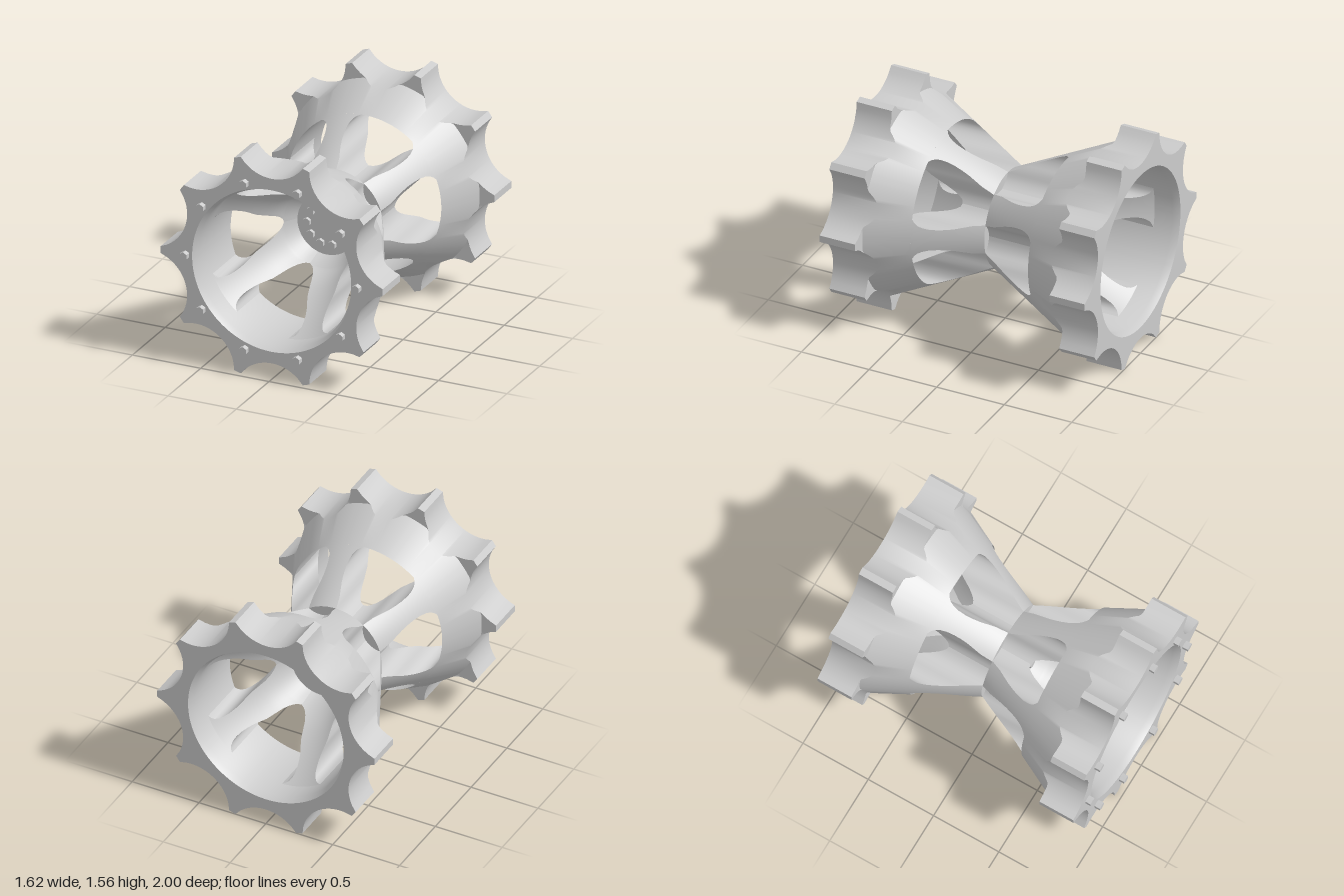
import * as THREE from 'three';
import { toCreasedNormals } from 'three/addons/utils/BufferGeometryUtils.js';

const RAD = Math.PI / 180;
const CENTER_Y = 0.785, WAIST_Z = -0.02;
const BORE = 0.562, WAIST_R = 0.345, RIM_BACK = 0.72, RIM_FRONT = 0.98;
const material = new THREE.MeshStandardMaterial({ color: 0xcccccc });

// Depth of the outer cone above the waist at radius r
const coneDepth = (r) => Math.max(0, (r - WAIST_R) * 2);

// Piecewise linear lookup in [[x, y], ...]
function lookup(table, x) {
  if (x <= table[0][0]) return table[0][1];
  for (let i = 1; i < table.length; i++) {
    const [x0, y0] = table[i - 1], [x1, y1] = table[i];
    if (x <= x1) return y0 + (y1 - y0) * (x - x0) / (x1 - x0);
  }
  return table[table.length - 1][1];
}

// Skin a row of closed loops; wrap joins the last loop to the first
function loft(loops, wrap) {
  const pos = [];
  const tri = (a, b, c) => {
    if (new THREE.Triangle(a, b, c).getArea() > 1e-9) pos.push(...a.toArray(), ...b.toArray(), ...c.toArray());
  };
  const n = loops[0].length, rows = wrap ? loops.length : loops.length - 1;
  for (let i = 0; i < rows; i++) {
    const p = loops[i], q = loops[(i + 1) % loops.length];
    for (let j = 0; j < n; j++) {
      const k = (j + 1) % n;
      tri(p[j], p[k], q[k]);
      tri(p[j], q[k], q[j]);
    }
  }
  const g = new THREE.BufferGeometry();
  g.setAttribute('position', new THREE.Float32BufferAttribute(pos, 3));
  return toCreasedNormals(g, 32 * RAD);
}

const polar = (r, a, z) => new THREE.Vector3(r * Math.cos(a), r * Math.sin(a), z);

function addMesh(parent, geometry, name) {
  const m = new THREE.Mesh(geometry, material);
  m.name = name;
  parent.add(m);
  return m;
}

// Ten-toothed rim: scalloped outline, flat tips, scallops biting into the cone
function rimGeometry() {
  const loops = [], c = 0.947, R = 0.282, steps = 20;
  for (let tooth = 0; tooth < 10; tooth++) {
    for (let i = 0; i <= steps; i++) {
      const phi = (i / steps * 2 - 1) * 16.25 * RAD;
      const a = (18 + 36 * tooth) * RAD + phi;
      const r = c * Math.cos(phi) - Math.sqrt(R * R - (c * Math.sin(phi)) ** 2);
      const rc = Math.min(r, WAIST_R + RIM_BACK / 2), d = coneDepth(rc);
      loops.push([
        polar(0.582, a, RIM_FRONT), polar(r, a, RIM_FRONT), polar(r, a, d),
        polar(rc, a, d), polar(BORE, a, coneDepth(BORE)), polar(BORE, a, 0.93),
      ]);
    }
  }
  return loft(loops, true);
}

// Half angle of the egg-shaped window, in degrees, by radius
const windowAngle = [
  [0.275, 0], [0.28, 5], [0.288, 8.5], [0.3, 12], [0.32, 15.5], [0.345, 17.7], [0.385, 20.3], [0.41, 22.8],
  [0.435, 25], [0.46, 26.3], [0.485, 27], [0.51, 27], [0.53, 26.2], [0.545, 24.8], [0.555, 22.8], [BORE, 20.5],
];

// One fifth of the hub, widening from a spoke at the rim to a full sector
function spokeGeometry(innerProfile) {
  const radii = [0.001, 0.1, 0.215, 0.245, ...windowAngle.map((p) => p[0])];
  const cols = 12;
  const loops = radii.map((r) => {
    const half = (36 - lookup(windowAngle, r)) * RAD;
    const top = [], bottom = [];
    for (let i = 0; i <= cols; i++) {
      const a = half * (1 - 2 * i / cols);
      top.push(polar(r, a, lookup(innerProfile, r)));
      bottom.unshift(polar(r, a, coneDepth(r)));
    }
    return [...top, ...bottom];
  });
  return loft(loops, false);
}

// Circle of ten hexagonal bolts
function boltCircle(name, radius, size, height, z) {
  const g = new THREE.Group();
  g.name = name;
  const hex = new THREE.CylinderGeometry(size, size, height, 6).toNonIndexed();
  hex.computeVertexNormals();
  hex.rotateX(Math.PI / 2);
  for (let i = 0; i < 10; i++) {
    addMesh(g, hex, 'bolt').position.copy(polar(radius, i * 36 * RAD, z + height / 2));
  }
  return g;
}

function disc(parent, name, radius, height, z) {
  const g = new THREE.CylinderGeometry(radius, radius, height, 48).rotateX(Math.PI / 2);
  addMesh(parent, g, name).position.z = z + height / 2;
}

// Half of the wheel, opening toward +z from the waist
function wheelHalf(name, innerProfile) {
  const half = new THREE.Group();
  half.name = name;
  addMesh(half, rimGeometry(), 'toothedRim');
  const spoke = spokeGeometry(innerProfile);
  for (let i = 0; i < 5; i++) addMesh(half, spoke, 'spoke').rotation.z = i * 72 * RAD;
  const floor = innerProfile[0][1];
  disc(half, 'hubPlate', 0.215, 0.02, floor);
  disc(half, 'hubCap', 0.085, 0.012, floor + 0.02);
  half.add(boltCircle('hubBolts', 0.14, 0.03, 0.025, floor + 0.02));
  half.position.set(0, CENTER_Y, WAIST_Z);
  return half;
}

export function createModel() {
  const model = new THREE.Group();
  model.name = 'doubleSprocketHub';

  const front = wheelHalf('frontHalf', [[0.215, 0.12], [0.28, 0.23], [0.33, 0.37], [BORE, 0.78]]);
  front.add(boltCircle('rimBolts', 0.63, 0.03, 0.04, RIM_FRONT));
  model.add(front);

  // The back half is turned, so its spokes sit behind the front windows
  const back = wheelHalf('backHalf', [[0.215, 0.2], [0.28, 0.33], [0.33, 0.43], [BORE, 0.8]]);
  back.rotation.y = Math.PI;
  model.add(back);

  return model;
}
